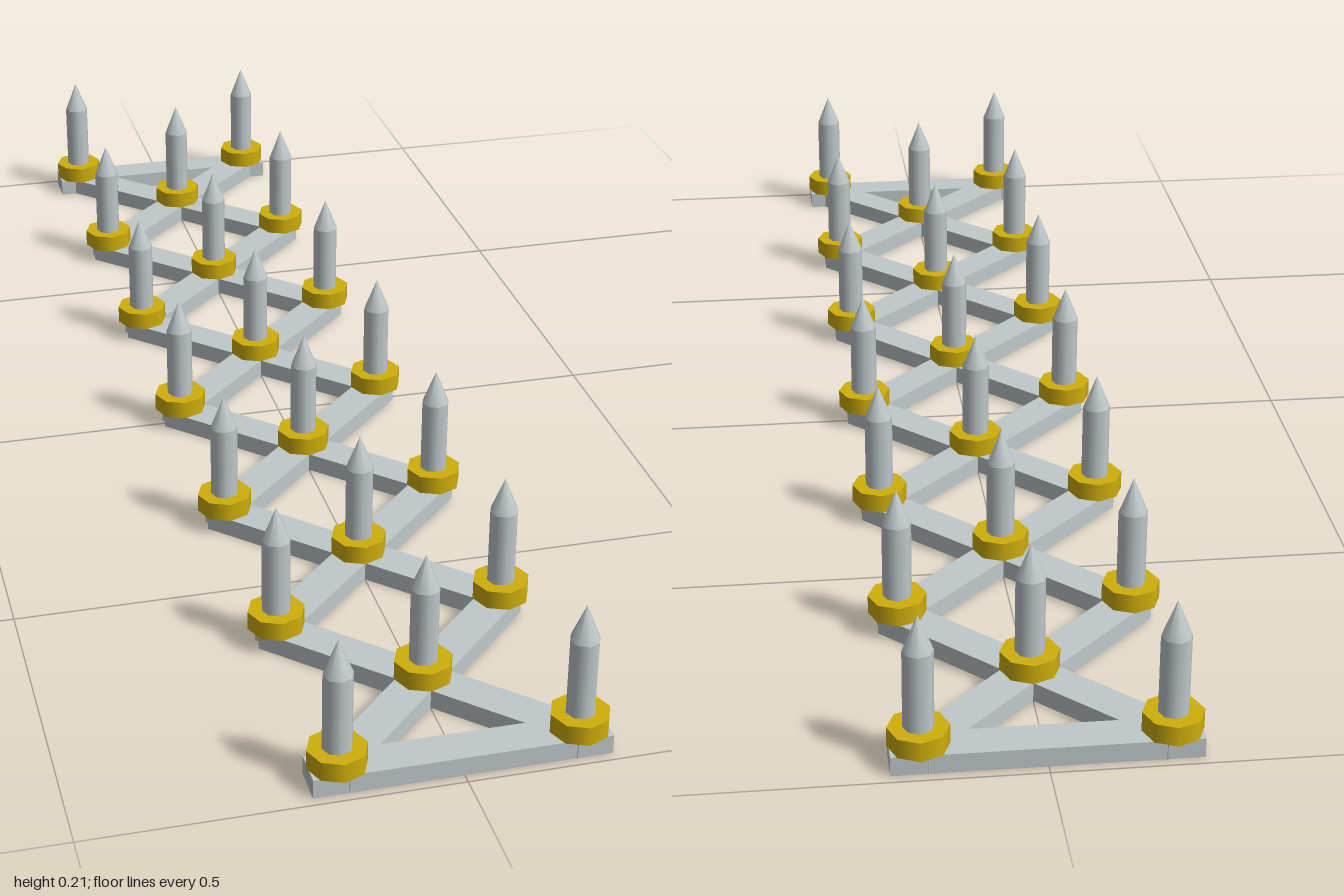
import * as THREE from 'three';

const steel = new THREE.MeshStandardMaterial({ name: 'pale steel', color: 0xc0c8ca });
const gold = new THREE.MeshStandardMaterial({ name: 'yellow gold', color: 0xcfae0c });

const PITCH = 0.32; // spacing of outer joints along z
const HALF = 0.16; // half spacing across x
const CELLS = 6;
const BAR_W = 0.053;
const BAR_H = 0.027;

function add(parent, name, geometry, material, x, y, z) {
  const mesh = new THREE.Mesh(geometry, material);
  mesh.name = name;
  mesh.position.set(x, y, z);
  parent.add(mesh);
  return mesh;
}

export function createModel() {
  const model = new THREE.Group();
  model.name = 'spikeStrip';

  const linkGeo = new THREE.BoxGeometry(0.477, BAR_H, BAR_W);
  const endGeo = new THREE.BoxGeometry(0.395, BAR_H, BAR_W);
  const collarGeo = new THREE.CylinderGeometry(0.04, 0.04, 0.027, 8);
  const shaftGeo = new THREE.CylinderGeometry(0.02, 0.02, 0.11, 8, 1, true);
  const tipGeo = new THREE.CylinderGeometry(0, 0.02, 0.05, 8, 1, true);

  // Joint: gold collar carrying a pointed spike
  function addJoint(x, z) {
    const joint = new THREE.Group();
    joint.name = 'spikeJoint';
    joint.position.set(x, 0, z);
    add(joint, 'collar', collarGeo, gold, 0, 0.0405, 0);
    add(joint, 'spikeShaft', shaftGeo, steel, 0, 0.108, 0);
    add(joint, 'spikeTip', tipGeo, steel, 0, 0.188, 0);
    model.add(joint);
  }

  // Crossed scissor links with a joint at each crossing
  for (let i = 0; i < CELLS; i++) {
    const z = (i - (CELLS - 1) / 2) * PITCH;
    for (const s of [-1, 1]) {
      add(model, 'scissorLink', linkGeo, steel, 0, BAR_H / 2, z).rotation.y = s * Math.PI / 4;
    }
    addJoint(0, z);
  }

  // Outer joints in pairs
  for (let i = 0; i <= CELLS; i++) {
    const z = (i - CELLS / 2) * PITCH;
    for (const s of [-1, 1]) addJoint(s * HALF, z);
  }

  // Straight bars closing both ends
  for (const s of [-1, 1]) {
    add(model, 'endBar', endGeo, steel, 0, BAR_H / 2, s * CELLS * PITCH / 2);
  }
  return model;
}
